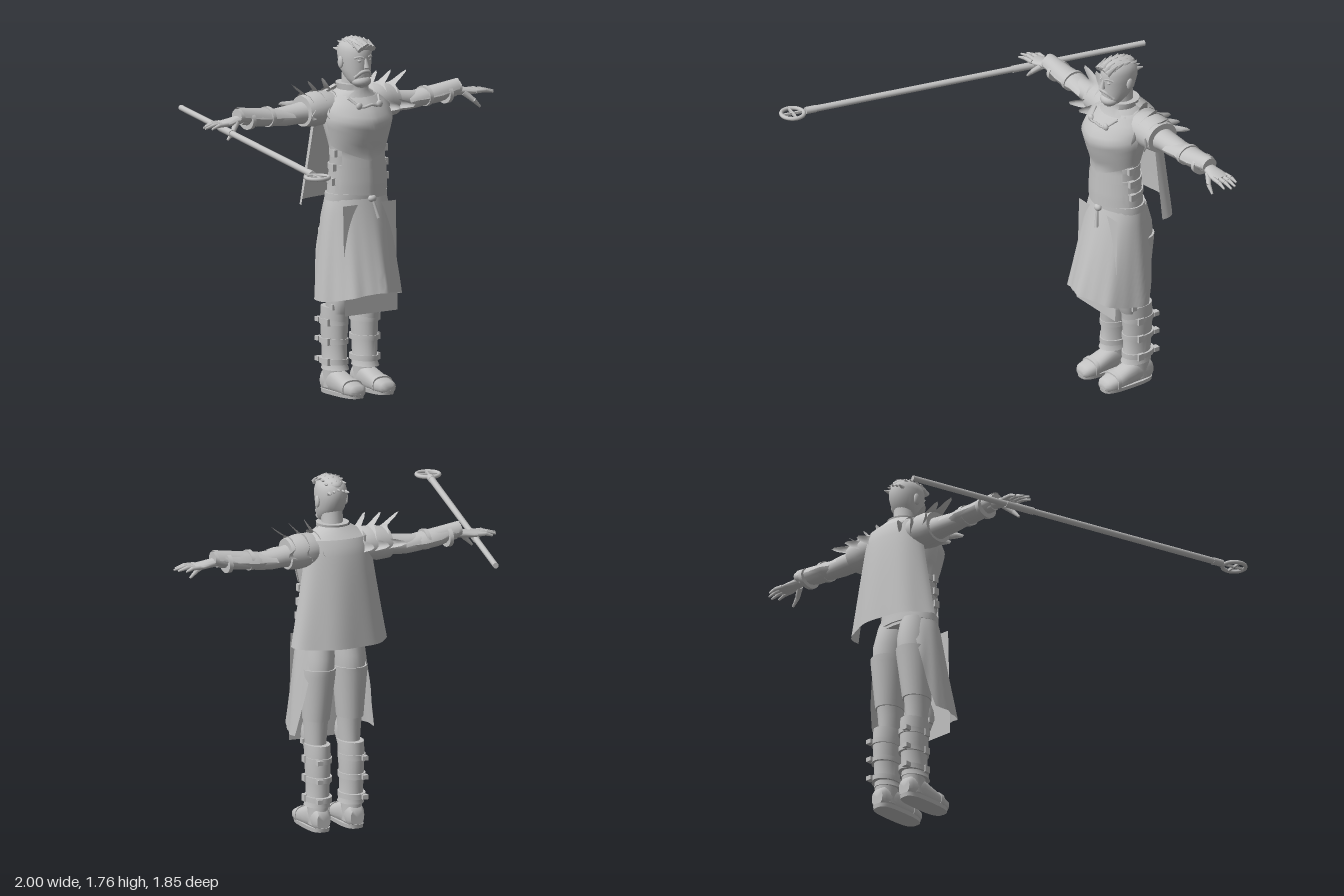
import * as THREE from 'three';
import { toCreasedNormals } from 'three/addons/utils/BufferGeometryUtils.js';

const grey = new THREE.MeshStandardMaterial({ color: 0xc2c2c2, side: THREE.DoubleSide });
grey.name = 'plain grey';

function add(parent, name, geo) {
  const m = new THREE.Mesh(geo, grey);
  m.name = name;
  parent.add(m);
  return m;
}

// Surface over a u,v grid; fn returns [x, y, z]
function sheet(parent, name, nu, nv, fn) {
  const pos = [], idx = [];
  for (let j = 0; j <= nv; j++) for (let i = 0; i <= nu; i++) pos.push(...fn(i / nu, j / nv));
  for (let j = 0; j < nv; j++) for (let i = 0; i < nu; i++) {
    const a = j * (nu + 1) + i, b = a + nu + 1;
    idx.push(a, a + 1, b, a + 1, b + 1, b);
  }
  const g = new THREE.BufferGeometry();
  g.setAttribute('position', new THREE.Float32BufferAttribute(pos, 3));
  g.setIndex(idx);
  return add(parent, name, toCreasedNormals(g, 0.8));
}

// Closed body from rounded sections [t, u, v, ru, rv] along an axis (y: u=x v=z, x: u=z v=y, z: u=y v=x)
function loft(parent, name, axis, rows, power = 1, n = 24) {
  const pos = [], idx = [];
  const put = (t, u, v) => pos.push(...(axis === 'y' ? [u, t, v] : axis === 'x' ? [t, v, u] : [v, u, t]));
  const bend = (c) => Math.sign(c) * Math.abs(c) ** power;
  for (const [t, u, v, ru, rv] of rows) for (let i = 0; i < n; i++) {
    const a = (i / n) * Math.PI * 2;
    put(t, u + ru * bend(Math.cos(a)), v + rv * bend(Math.sin(a)));
  }
  const last = rows.length - 1;
  for (let j = 0; j < last; j++) for (let i = 0; i < n; i++) {
    const k = (i + 1) % n, a = j * n + i, b = j * n + k;
    idx.push(a, a + n, b, b, a + n, b + n);
  }
  for (const j of [0, last]) {
    const c = pos.length / 3;
    put(...rows[j]);
    for (let i = 0; i < n; i++) {
      const a = j * n + i, b = j * n + ((i + 1) % n);
      idx.push(c, ...(j ? [b, a] : [a, b]));
    }
  }
  const g = new THREE.BufferGeometry();
  g.setAttribute('position', new THREE.Float32BufferAttribute(pos, 3));
  g.setIndex(idx);
  return add(parent, name, toCreasedNormals(g, 0.8));
}

// Tapered rod between two points
function rod(parent, name, a, b, r1, r2, n = 10) {
  const p = new THREE.Vector3(...a), q = new THREE.Vector3(...b), d = q.clone().sub(p);
  const m = add(parent, name, new THREE.CylinderGeometry(r2, r1, d.length(), n));
  m.position.copy(p).add(q).multiplyScalar(0.5);
  m.quaternion.setFromUnitVectors(new THREE.Vector3(0, 1, 0), d.normalize());
  return m;
}
function ball(parent, name, p, s) {
  const m = add(parent, name, new THREE.SphereGeometry(1, 20, 14));
  m.position.set(...p);
  m.scale.set(...s);
  return m;
}
function box(parent, name, p, s) {
  const m = add(parent, name, new THREE.BoxGeometry(...s));
  m.position.set(...p);
  return m;
}
function tube(parent, name, pts, r) {
  const curve = new THREE.CatmullRomCurve3(pts.map((p) => new THREE.Vector3(...p)));
  return add(parent, name, new THREE.TubeGeometry(curve, 20, r, 6));
}

// Torso rows [y, x, z, half width, half depth] and a lookup between them
const torso = [[0.95, 0, -0.315, 0.16, 0.11], [1.05, 0, -0.31, 0.155, 0.105], [1.2, 0, -0.305, 0.145, 0.095],
  [1.27, 0, -0.305, 0.16, 0.12], [1.36, 0, -0.31, 0.18, 0.15], [1.43, 0, -0.335, 0.17, 0.13], [1.48, 0, -0.35, 0.11, 0.1]];
function torsoAt(y) {
  let j = 0;
  while (j < torso.length - 2 && torso[j + 1][0] < y) j++;
  const t = (y - torso[j][0]) / (torso[j + 1][0] - torso[j][0]);
  return torso[j].map((v, k) => v + (torso[j + 1][k] - v) * t);
}

function buildTorso(g) {
  loft(g, 'torso', 'y', torso);
  // front plates: pointed hem and a central ridge
  const plate = (name, low, top, dip, arc, grow) => sheet(g, name, 28, 10, (u, v) => {
    const a = (u - 0.5) * 2 * arc, mid = 1 - Math.abs(u - 0.5) * 2;
    const y = THREE.MathUtils.lerp(low - dip * mid, top, v);
    const [, , z, rx, rz] = torsoAt(y);
    return [(rx + grow) * Math.sin(a), y, z + (rz + grow) * Math.cos(a) + 0.012 * mid ** 2];
  });
  plate('breastplate', 1.24, 1.47, 0.08, 1.5, 0.008);
  plate('bellyPlate', 1.1, 1.26, 0.06, 1.0, 0.006);
  plate('waistPlate', 1.01, 1.13, 0.02, 1.2, 0.01);
  for (const y of [1.06, 1.13, 1.2]) {
    const [, , z, rx, rz] = torsoAt(y);
    loft(g, 'waistStrap', 'y', [-0.014, 0.014].map((d) => [y + d, 0, z, rx + 0.006, rz + 0.006]));
    for (const s of [-1, 1]) box(g, 'waistBuckle', [s * (rx + 0.005), y, z + 0.02], [0.02, 0.035, 0.03]);
  }
  loft(g, 'belt', 'y', [[0.965, 0, -0.315, 0.168, 0.118], [1.0, 0, -0.313, 0.166, 0.116]]);
  ball(g, 'beltKnot', [0.01, 0.975, -0.19], [0.022, 0.018, 0.018]);
  rod(g, 'beltEnd', [0.01, 0.97, -0.185], [0.03, 0.88, -0.165], 0.007, 0.01, 6);
  loft(g, 'collar', 'y', [[1.42, 0, -0.35, 0.15, 0.125], [1.47, 0, -0.345, 0.12, 0.105], [1.5, 0, -0.34, 0.075, 0.08], [1.53, 0, -0.345, 0.08, 0.085]]);
  tube(g, 'chestCord', [[-0.09, 1.47, -0.25], [-0.05, 1.43, -0.195], [0, 1.44, -0.183], [0.05, 1.43, -0.195], [0.09, 1.47, -0.25]], 0.007);
  for (const s of [-1, 1]) ball(g, 'cordClasp', [s * 0.06, 1.435, -0.2], [0.018, 0.018, 0.012]);
}

function buildCloth(g) {
  sheet(g, 'cape', 36, 14, (u, v) => {
    const a = (u - 0.5) * 3.1, e = Math.pow(v, 1.1);
    const fold = 1 + 0.025 * v * Math.sin(a * 7);
    return [(0.165 + 0.09 * e) * Math.sin(a) * fold, 1.47 - 0.53 * v,
      -0.4 - (0.08 + 0.075 * Math.sqrt(v)) * Math.cos(a) * fold];
  });
  sheet(g, 'capeYoke', 24, 4, (u, v) => {
    const a = (u - 0.5) * 3.1;
    return [(0.08 + 0.085 * v) * Math.sin(a), 1.52 - 0.05 * v, -0.36 - 0.04 * v - (0.07 + 0.01 * v) * Math.cos(a)];
  });
  sheet(g, 'skirt', 48, 14, (u, v) => {
    const a = (u - 0.5) * 2 * THREE.MathUtils.lerp(2.5, 1.75, v);
    const fold = 1 + v * (0.03 * Math.sin(a * 8 + 1) + 0.012 * Math.sin(a * 17));
    return [-0.008 * v + (0.163 + 0.052 * Math.pow(v, 0.7)) * Math.sin(a) * fold,
      0.98 - v * (0.475 - 0.025 * Math.cos(a * 2)) - 0.005,
      -0.312 + (0.116 + 0.12 * v) * Math.cos(a) * fold];
  });
  sheet(g, 'underPanel', 12, 4, (u, v) => [(u - 0.5) * 0.315, 0.95 - 0.54 * v, -0.2 + 0.015 * v]);
}

function buildHead(g) {
  loft(g, 'neck', 'y', [[1.42, 0, -0.36, 0.065, 0.065], [1.5, 0, -0.345, 0.052, 0.055], [1.6, 0, -0.335, 0.052, 0.06]]);
  loft(g, 'head', 'y', [[1.515, 0, -0.27, 0.025, 0.03], [1.53, 0, -0.28, 0.042, 0.045], [1.56, 0, -0.3, 0.058, 0.065],
    [1.6, 0, -0.318, 0.067, 0.085], [1.65, 0, -0.324, 0.073, 0.095], [1.69, 0, -0.325, 0.073, 0.097],
    [1.72, 0, -0.325, 0.065, 0.085], [1.745, 0, -0.325, 0.04, 0.055]], 0.92);
  rod(g, 'nose', [0, 1.66, -0.232], [0, 1.615, -0.222], 0.006, 0.014, 8);
  ball(g, 'beard', [0, 1.545, -0.268], [0.05, 0.032, 0.045]);
  tube(g, 'moustache', [[-0.045, 1.565, -0.26], [-0.02, 1.594, -0.233], [0, 1.598, -0.229], [0.02, 1.594, -0.233], [0.045, 1.565, -0.26]], 0.009);
  for (const s of [-1, 1]) {
    ball(g, 'ear', [s * 0.076, 1.635, -0.335], [0.01, 0.03, 0.019]);
    ball(g, 'eye', [s * 0.028, 1.65, -0.243], [0.013, 0.008, 0.01]);
    tube(g, 'eyebrow', [[s * 0.012, 1.664, -0.232], [s * 0.03, 1.67, -0.238], [s * 0.05, 1.663, -0.255]], 0.006);
  }
  // swept-back crest
  ball(g, 'hairCap', [0, 1.718, -0.318], [0.056, 0.038, 0.095]);
  for (let r = 0; r < 5; r++) for (let c = -2; c <= 2; c++) {
    const x = c * 0.02, z = -0.235 - r * 0.038, y = 1.73 + 0.016 * Math.sin(r * 0.8) - Math.abs(c) * 0.007 - (r === 4 ? 0.02 : 0);
    rod(g, 'hairTuft', [x * 0.9, y - 0.01, z + 0.01], [x * 1.25, y + 0.026 - r * 0.008, z - 0.045], 0.018, 0.003, 6);
  }
}

function buildArm(g) {
  loft(g, 'sleeve', 'x', [[0.12, -0.375, 1.4, 0.085, 0.075], [0.22, -0.385, 1.4, 0.068, 0.06], [0.3, -0.395, 1.395, 0.058, 0.05],
    [0.36, -0.4, 1.39, 0.056, 0.048], [0.43, -0.4, 1.39, 0.048, 0.042], [0.64, -0.385, 1.405, 0.03, 0.026]]);
  loft(g, 'bracer', 'x', [[0.39, -0.4, 1.39, 0.05, 0.036], [0.45, -0.4, 1.395, 0.066, 0.045], [0.54, -0.393, 1.403, 0.06, 0.045],
    [0.63, -0.387, 1.42, 0.045, 0.038], [0.66, -0.385, 1.425, 0.042, 0.036]], 1.15, 12);
  sheet(g, 'bracerGuard', 12, 5, (u, v) => {
    const a = (u - 0.5) * 2.6, x = 0.36 + 0.3 * v - 0.04 * Math.abs(u - 0.5);
    return [x, 1.375 + 0.03 * v + (0.05 + 0.012 * v) * Math.cos(a), -0.4 + 0.015 * v + (0.07 - 0.022 * v) * Math.sin(a)];
  });
  for (const x of [0.46, 0.58]) loft(g, 'bracerStrap', 'x', [x, x + 0.02].map((t) => [t, -0.394, 1.4, 0.064, 0.05]));

  // layered shoulder armour with pointed rims
  loft(g, 'shoulderDome', 'x', [[0.08, -0.375, 1.42, 0.08, 0.055], [0.14, -0.38, 1.415, 0.095, 0.08], [0.21, -0.385, 1.41, 0.095, 0.085], [0.27, -0.388, 1.405, 0.085, 0.075]]);
  for (const [x, r, tip, h] of [[0.1, 0.085, 0.035, 0.06], [0.17, 0.083, 0.05, 0.055], [0.24, 0.074, 0.075, 0.055]])
    sheet(g, 'shoulderPlate', 40, 4, (u, v) => {
      const a = (u - 0.5) * 3.9, jag = Math.max(0, Math.cos(a * 4 + 0.5)) ** 3;
      const k = r + 0.01 * v + h * jag * v * v;
      return [x + 0.03 * v + tip * jag * v - 0.02 * Math.abs(a) * v, 1.41 + k * Math.cos(a), -0.385 - k * Math.sin(a)];
    });

  // hand
  loft(g, 'palm', 'x', [[0.62, -0.385, 1.41, 0.028, 0.022], [0.68, -0.385, 1.403, 0.036, 0.02], [0.72, -0.385, 1.398, 0.045, 0.017], [0.765, -0.385, 1.395, 0.044, 0.013]]);
  [0.82, 0.85, 0.86, 0.84].forEach((tip, i) => {
    const z = -0.42 + i * 0.024, zt = -0.427 + i * 0.029, mid = (tip + 0.75) / 2;
    rod(g, 'finger', [0.74, 1.398, z], [mid, 1.398, (z + zt) / 2], 0.011, 0.01, 8);
    rod(g, 'finger', [mid, 1.398, (z + zt) / 2], [tip, 1.386, zt], 0.01, 0.005, 8);
  });
  rod(g, 'thumb', [0.68, 1.398, -0.36], [0.72, 1.36, -0.335], 0.016, 0.012, 8);
  rod(g, 'thumb', [0.72, 1.36, -0.335], [0.755, 1.325, -0.33], 0.012, 0.006, 8);
}

function buildLeg(g) {
  const x = 0.09;
  loft(g, 'thigh', 'y', [[0.42, x, -0.34, 0.05, 0.07], [0.5, x, -0.342, 0.055, 0.072], [0.6, x, -0.35, 0.06, 0.075],
    [0.75, 0.085, -0.36, 0.075, 0.09], [0.87, 0.08, -0.35, 0.078, 0.1], [0.98, 0.075, -0.325, 0.075, 0.095]]);
  loft(g, 'thighGuard', 'y', [[0.55, x, -0.35, 0.064, 0.078], [0.78, 0.085, -0.36, 0.084, 0.095], [0.81, 0.084, -0.36, 0.085, 0.098]]);
  loft(g, 'greave', 'y', [[0.12, x, -0.36, 0.062, 0.08], [0.15, x, -0.365, 0.054, 0.072], [0.25, x, -0.368, 0.056, 0.076],
    [0.36, x, -0.368, 0.061, 0.082], [0.43, x, -0.36, 0.06, 0.086]]);
  loft(g, 'kneeGuard', 'y', [[0.4, x, -0.31, 0.045, 0.035], [0.46, x, -0.3, 0.055, 0.05], [0.5, x, -0.305, 0.052, 0.052], [0.56, x, -0.31, 0.035, 0.035]]);
  box(g, 'kneeRivet', [x + 0.052, 0.435, -0.31], [0.016, 0.026, 0.026]);
  for (const y of [0.16, 0.26, 0.355]) {
    loft(g, 'greaveStrap', 'y', [-0.013, 0.013].map((d) => [y + d, x, -0.372, 0.064, 0.086]));
    box(g, 'greaveBuckle', [x + 0.06, y, -0.345], [0.016, 0.034, 0.034]);
    box(g, 'strapEnd', [x + 0.03, y, -0.455], [0.03, 0.022, 0.03]);
  }
  // boot
  loft(g, 'ankle', 'y', [[0.03, x, -0.375, 0.048, 0.06], [0.14, x, -0.37, 0.05, 0.065]]);
  loft(g, 'boot', 'z', [[-0.44, 0.055, x, 0.04, 0.035], [-0.42, 0.06, x, 0.058, 0.046], [-0.34, 0.064, x, 0.062, 0.05],
    [-0.28, 0.052, x, 0.05, 0.052], [-0.21, 0.038, x, 0.036, 0.056], [-0.17, 0.034, x, 0.03, 0.046], [-0.157, 0.03, x, 0.016, 0.03]], 0.8);
  loft(g, 'sole', 'y', [[0, x, -0.3, 0.052, 0.142], [0.02, x, -0.3, 0.055, 0.145]], 0.65);
  loft(g, 'toeCap', 'z', [[-0.235, 0.045, x, 0.044, 0.058], [-0.215, 0.042, x, 0.042, 0.06]], 0.8);
}

function buildStaff(g) {
  const back = [-0.465, 1.378, -0.925], front = [-0.912, 1.36, 0.79];
  const at = (t) => back.map((v, i) => v + (front[i] - v) * t);
  rod(g, 'staffShaft', back, front, 0.014, 0.016, 16);
  rod(g, 'staffGrip', at(0.3), at(0.39), 0.018, 0.018, 16);
  rod(g, 'staffSocket', at(0.97), at(1.0), 0.018, 0.018, 16);
  const ring = new THREE.Group();
  ring.name = 'staffHead';
  ring.position.set(-0.93, 1.358, 0.855);
  ring.rotation.y = -0.25;
  add(ring, 'staffRing', new THREE.TorusGeometry(0.056, 0.01, 10, 36)).rotation.x = Math.PI / 2;
  box(ring, 'staffSpoke', [0, 0, 0], [0.11, 0.012, 0.01]);
  box(ring, 'staffSpoke', [0, 0, 0], [0.01, 0.012, 0.11]);
  g.add(ring);
}

export function createModel() {
  const model = new THREE.Group();
  model.name = 'armouredFigure';
  const part = (parent, name, build) => {
    const g = new THREE.Group();
    g.name = name;
    build(g);
    parent.add(g);
    return g;
  };
  const body = part(model, 'body', () => {});
  body.position.x = 0.14;
  part(body, 'torsoArmour', buildTorso);
  part(body, 'cloth', buildCloth);
  part(body, 'headGroup', buildHead);
  for (const [side, s] of [['left', 1], ['right', -1]]) {
    part(body, side + 'Arm', buildArm).scale.x = s;
    part(body, side + 'Leg', buildLeg).scale.x = s;
  }
  part(model, 'staff', buildStaff);
  return model;
}
